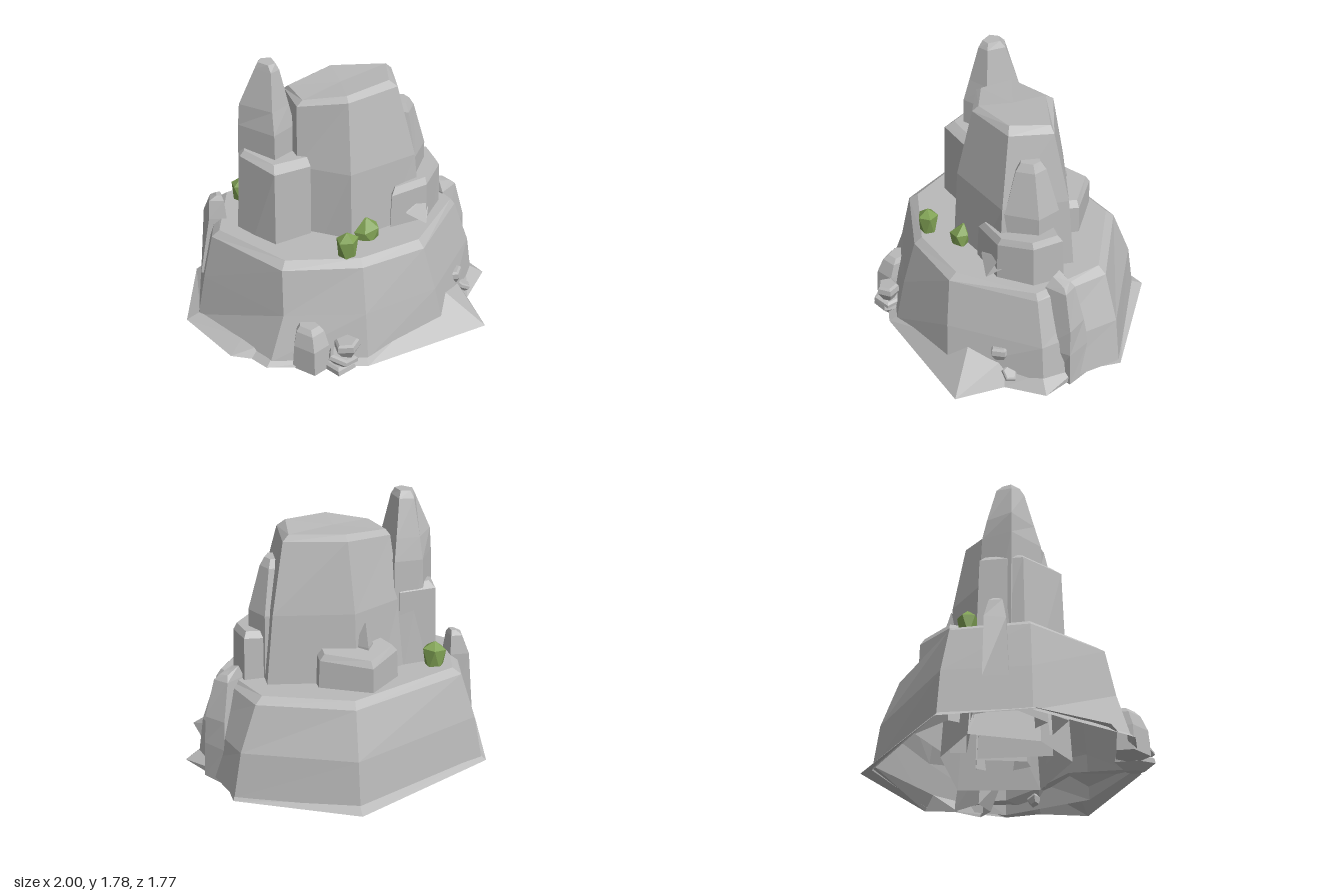
import * as THREE from 'three';

const stone = new THREE.MeshStandardMaterial({ color: 0xb9b9b9, flatShading: true, side: THREE.DoubleSide });
stone.name = 'grey stone';
const leaf = new THREE.MeshStandardMaterial({ color: 0x80a154, flatShading: true });
leaf.name = 'moss green';

// Skin between rings of [x, y, z] listed from bottom to top, with optional end caps
function loft(name, rings, capTop = true, capBottom = false, material = stone) {
  const pos = [];
  const n = rings[0].length;
  const tri = (...p) => p.forEach(v => pos.push(...v));
  for (let k = 0; k < rings.length - 1; k++) {
    for (let i = 0; i < n; i++) {
      const j = (i + 1) % n, lo = rings[k], hi = rings[k + 1];
      tri(lo[i], lo[j], hi[j]);
      tri(lo[i], hi[j], hi[i]);
    }
  }
  const cap = (ring, up) => {
    const c = [0, 1, 2].map(a => ring.reduce((s, p) => s + p[a], 0) / n);
    ring.forEach((p, i) => {
      const q = ring[(i + 1) % n];
      up ? tri(c, p, q) : tri(c, q, p);
    });
  };
  if (capTop) cap(rings[rings.length - 1], true);
  if (capBottom) cap(rings[0], false);
  const g = new THREE.BufferGeometry();
  g.setAttribute('position', new THREE.Float32BufferAttribute(pos, 3));
  g.computeVertexNormals();
  const mesh = new THREE.Mesh(g, material);
  mesh.name = name;
  return mesh;
}

// Rock from one outline [x, z]; level = [y, scaleX, scaleZ, shiftX, shiftZ, slopeX, slopeZ]
function rock(name, outline, levels, capBottom = false) {
  const n = outline.length;
  const cx = outline.reduce((s, p) => s + p[0], 0) / n;
  const cz = outline.reduce((s, p) => s + p[1], 0) / n;
  return loft(name, levels.map(([y, sx, sz = sx, dx = 0, dz = 0, tx = 0, tz = 0]) =>
    outline.map(([x, z]) => {
      const px = (x - cx) * sx, pz = (z - cz) * sz;
      return [cx + px + dx, y + px * tx + pz * tz, cz + pz + dz];
    })), true, capBottom);
}

const level = (y, pts) => pts.map(([x, z]) => [x, y, z]);

// Five-sided outline for small stones and shrubs
const pentagon = (rx, rz, spin) => [0, 1, 2, 3, 4].map(i =>
  [Math.sin(i * 0.4 * Math.PI + spin) * rx, Math.cos(i * 0.4 * Math.PI + spin) * rz]);

export function createModel() {
  const model = new THREE.Group();
  model.name = 'rockFormation';

  // Wide eight-sided plinth, open underneath
  model.add(loft('plinth', [
    level(0.07, [[0.01, 0.77], [0.56, 0.58], [0.92, 0.07], [0.82, -0.46], [0.13, -0.82], [-0.81, -0.47], [-0.92, 0.06], [-0.58, 0.66]]),
    level(0.36, [[0.01, 0.71], [0.5, 0.56], [0.88, 0.07], [0.77, -0.45], [0.13, -0.78], [-0.76, -0.45], [-0.87, 0.06], [-0.48, 0.6]]),
    level(0.65, [[0.01, 0.63], [0.43, 0.52], [0.78, 0.07], [0.66, -0.41], [0.11, -0.67], [-0.68, -0.4], [-0.81, 0.06], [-0.47, 0.54]]),
    level(0.69, [[0.01, 0.58], [0.41, 0.47], [0.75, 0.07], [0.61, -0.38], [0.1, -0.62], [-0.63, -0.37], [-0.76, 0.06], [-0.44, 0.49]]),
  ]));

  // Thin ragged skirt with a ridge at the front right corner
  model.add(loft('skirt', [
    [[0, 0.05, 0.82], [0.83, 0.05, 0.61], [0.82, 0.05, 0.29], [1, 0.08, 0.08], [0.82, 0.05, -0.25], [0.83, 0.05, -0.47],
      [0.14, 0.05, -0.89], [-0.84, 0.05, -0.48], [-1, 0.05, 0.07], [-0.8, 0.05, 0.51], [-0.68, 0.05, 0.57], [-0.61, 0.05, 0.68]],
    [[0, 0.08, 0.76], [0.59, 0.26, 0.45], [0.73, 0.2, 0.27], [0.88, 0.16, 0.07], [0.84, 0.12, -0.22], [0.79, 0.15, -0.42],
      [0.13, 0.09, -0.8], [-0.8, 0.09, -0.46], [-0.91, 0.09, 0.06], [-0.7, 0.1, 0.4], [-0.62, 0.1, 0.52], [-0.56, 0.1, 0.64]],
  ], false));

  // Central tower with a sloping, bevelled top
  model.add(loft('centralTower', [
    level(0.12, [[0.01, 0.4], [0.54, 0.26], [0.6, -0.27], [0, -0.41], [-0.4, -0.27], [-0.32, 0.17]]),
    level(1.13, [[0.01, 0.34], [0.46, 0.19], [0.49, -0.22], [0.01, -0.35], [-0.33, -0.2], [-0.28, 0.15]]),
    [[0.02, 1.57, 0.24], [0.36, 1.58, 0.12], [0.4, 1.57, -0.15], [0.03, 1.57, -0.27], [-0.29, 1.53, -0.13], [-0.27, 1.53, 0.13]],
    [[0.02, 1.6, 0.2], [0.31, 1.62, 0.1], [0.36, 1.61, -0.14], [0.03, 1.6, -0.22], [-0.27, 1.56, -0.1], [-0.23, 1.56, 0.11]],
  ]));

  // Tall pointed spire on the left of the tower
  model.add(loft('spire', [
    level(0.2, [[-0.42, 0.2], [-0.24, 0.08], [-0.27, -0.26], [-0.5, -0.25], [-0.63, -0.04]]),
    level(1.37, [[-0.42, 0.17], [-0.27, 0.06], [-0.3, -0.19], [-0.48, -0.2], [-0.6, -0.03]]),
    level(1.51, [[-0.42, 0.13], [-0.3, 0.05], [-0.32, -0.16], [-0.47, -0.17], [-0.59, -0.03]]),
    level(1.74, [[-0.41, 0.07], [-0.35, 0.03], [-0.36, -0.09], [-0.45, -0.11], [-0.49, -0.02]]),
    level(1.78, [[-0.42, 0.04], [-0.37, 0.02], [-0.38, -0.06], [-0.44, -0.07], [-0.47, -0.02]]),
  ]));

  // Bevelled block wrapped around the spire
  model.add(loft('spireBlock', [
    level(0.2, [[-0.46, 0.32], [-0.22, 0.25], [-0.33, -0.23], [-0.58, -0.25], [-0.67, 0.05]]),
    [[-0.45, 1.17, 0.29], [-0.21, 1.16, 0.22], [-0.33, 1.17, -0.21], [-0.56, 1.18, -0.22], [-0.61, 1.19, 0.04]],
    [[-0.44, 1.21, 0.23], [-0.22, 1.2, 0.17], [-0.34, 1.2, -0.17], [-0.53, 1.22, -0.18], [-0.58, 1.22, 0.03]],
  ]));

  // Slim slab leaning on the right of the tower
  model.add(rock('sideSlab', [[0.38, 0.15], [0.47, 0.18], [0.6, 0], [0.53, -0.15], [0.38, -0.16]],
    [[0.25, 1.06], [1.1, 0.9, 0.98, -0.005], [1.38, 0.48, 0.55, -0.03], [1.43, 0.32, 0.36, -0.04]]));

  // Squat block at the foot of the slab
  model.add(rock('sideBlock', [[0.27, 0.3], [0.53, 0.25], [0.68, 0.06], [0.66, -0.14], [0.36, -0.15]],
    [[0.25, 1.05], [0.94, 0.92, 0.95, 0, 0, 0.08, -0.06], [0.98, 0.8, 0.82, 0, 0, 0.08, -0.06]]));

  // Low block at the back of the tower
  model.add(rock('backBlock', [[0.25, -0.24], [0.26, -0.38], [-0.04, -0.56], [-0.27, -0.38], [-0.21, -0.24]],
    [[0.25, 1.04], [0.87, 0.94, 0.96, 0, 0, 0, 0.12], [0.91, 0.82, 0.82, 0, 0, 0, 0.12]]));

  // Narrow wedge against the back of the tower
  model.add(rock('backWedge', [[0.03, -0.33], [-0.06, -0.42], [-0.13, -0.33]], [[0.5, 1], [0.92, 0.75], [1.07, 0.05]]));

  // Buttress down the right flank, set corner outwards
  model.add(loft('rightButtress', [
    level(0.05, [[0.8, -0.04], [0.92, -0.1], [0.82, -0.28], [0.65, -0.13]]),
    level(0.28, [[0.78, 0.04], [0.91, -0.1], [0.82, -0.25], [0.65, -0.12]]),
    level(0.46, [[0.76, 0.02], [0.9, -0.1], [0.81, -0.22], [0.65, -0.12]]),
    level(0.7, [[0.72, 0], [0.835, -0.09], [0.77, -0.17], [0.65, -0.1]]),
    [[0.71, 0.76, -0.05], [0.8, 0.73, -0.09], [0.76, 0.74, -0.14], [0.68, 0.775, -0.1]],
  ]));

  // Small outcrop on the left flank
  model.add(loft('leftOutcrop', [
    level(0.3, [[-0.72, -0.06], [-0.7, -0.2], [-0.84, -0.22], [-0.87, -0.07]]),
    level(0.69, [[-0.69, -0.06], [-0.69, -0.19], [-0.81, -0.21], [-0.8, -0.08]]),
    level(0.81, [[-0.7, -0.08], [-0.7, -0.17], [-0.77, -0.18], [-0.79, -0.1]]),
    level(0.84, [[-0.71, -0.1], [-0.71, -0.15], [-0.74, -0.15], [-0.74, -0.11]]),
  ]));

  // Boulder at the front foot
  model.add(rock('frontBoulder', [[-0.34, 0.82], [-0.22, 0.75], [-0.27, 0.62], [-0.42, 0.6], [-0.45, 0.7]],
    [[0.04, 1], [0.2, 0.9], [0.29, 0.72, 0.72, 0, -0.02], [0.32, 0.5, 0.5, 0, -0.03]], true));

  // Loose stones: [name, x, y, z, half sizes, spin, tilt]
  const loose = [
    ['upperStone', -0.13, 0.195, 0.79, 0.085, 0.055, 0.075, 0.3, 0.08],
    ['middleStone', -0.16, 0.115, 0.78, 0.1, 0.035, 0.1, 0, -0.25],
    ['lowerStone', -0.165, 0.05, 0.75, 0.105, 0.045, 0.13, 0.9, 0.15],
    ['ridgeStone', 0.705, 0.245, 0.28, 0.075, 0.05, 0.075, 0.4, 0.1],
    ['ridgePebble', 0.79, 0.125, 0.25, 0.06, 0.03, 0.05, 0.8, -0.5],
  ];
  for (const [name, x, y, z, sx, sy, sz, spin, tilt] of loose) {
    const mesh = rock(name, pentagon(sx, sz, spin), [[-sy, 0.5], [sy * 0.1, 1], [sy * 0.75, 0.95], [sy, 0.75]], true);
    mesh.position.set(x, y, z);
    mesh.rotation.z = tilt;
    model.add(mesh);
  }

  // Sharp sliver sticking out of the side block
  model.add(loft('shard', [
    [[0.51, 0.69, 0.31], [0.55, 0.76, 0.22], [0.53, 0.84, 0.22]],
    [[0.385, 0.775, 0.3], [0.39, 0.78, 0.29], [0.38, 0.785, 0.295]],
  ]));

  // Faceted green shrubs with twisted rings; ring = [y, scale, twist, shiftZ, slopeX]
  const upright = [[0.67, 0.78, 0.63, 0, 0], [0.8, 1.04, 0, 0, 0.1], [0.843, 0.12, 0, 0, 0]];
  const leaning = [[0.67, 0.9, 0.63, 0, 0], [0.75, 1.02, 0, 0, 0.25], [0.81, 0.12, 0, -0.025, 0]];
  const shrubs = [
    [-0.06, 0.52, 0.068, 0.063, 0.3, upright],
    [0.11, 0.36, 0.08, 0.06, 0.9, leaning],
    [-0.54, -0.285, 0.075, 0.062, 1.6, upright],
  ];
  shrubs.forEach(([x, z, rx, rz, spin, rings], i) => {
    const shrub = loft('shrub' + (i + 1), rings.map(([y, s, twist, dz, slope]) =>
      pentagon(rx * s, rz * s, spin + twist).map(([px, pz]) => [px, y + px * slope, pz + dz])), true, true, leaf);
    shrub.position.set(x, 0, z);
    model.add(shrub);
  });

  return model;
}
